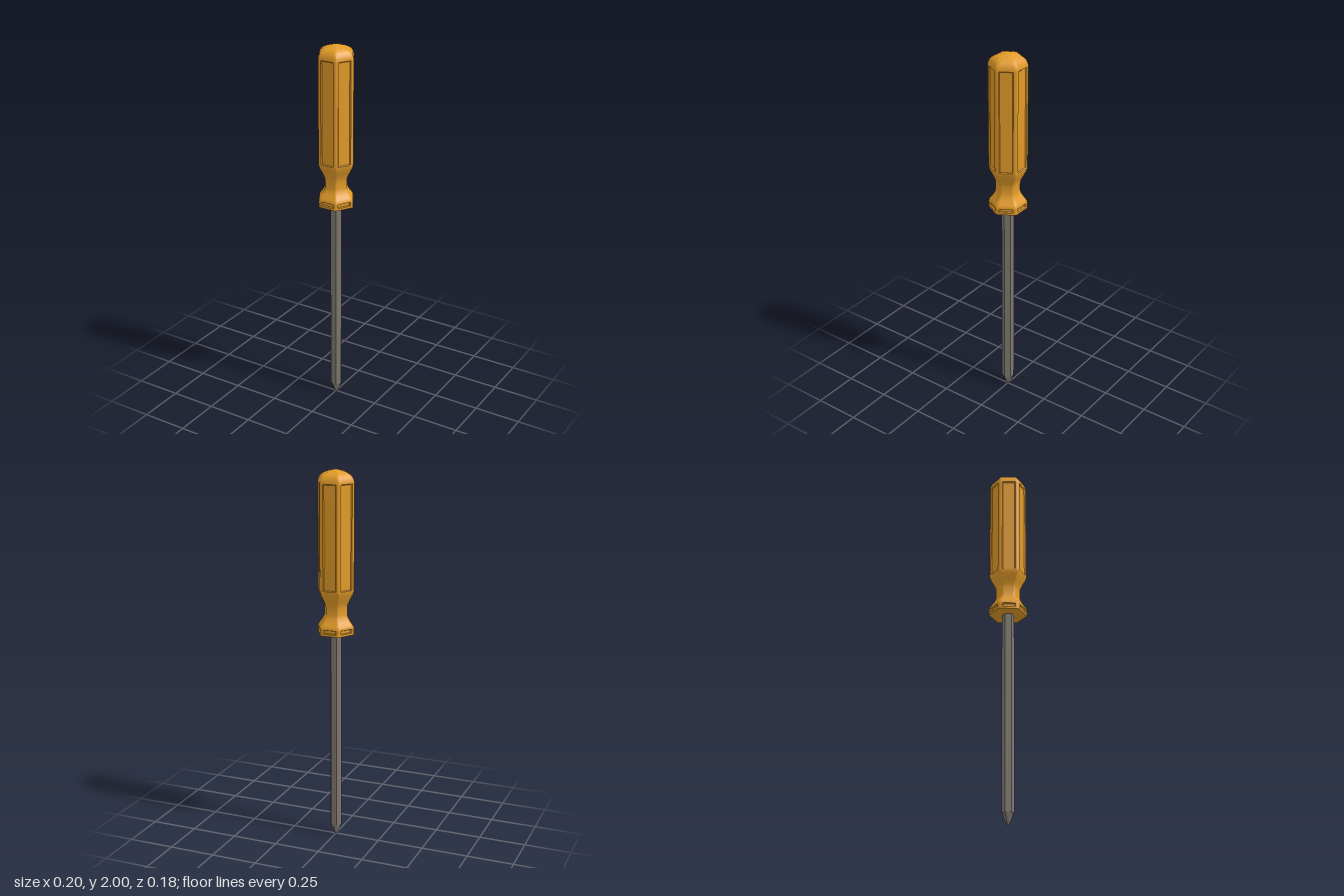
import * as THREE from 'three';
import { toCreasedNormals } from 'three/addons/utils/BufferGeometryUtils.js';

// Skin closed rings of points (bottom to top, counter-clockwise from above) and cap both ends
function loft(rings) {
  const n = rings[0].length;
  const pos = rings.flat().flatMap((p) => [p.x, p.y, p.z]);
  const index = [];
  for (let r = 0; r < rings.length - 1; r++) {
    for (let i = 0; i < n; i++) {
      const j = (i + 1) % n;
      const a = r * n + i, b = r * n + j, c = b + n, d = a + n;
      index.push(a, b, c, a, c, d);
    }
  }
  const bottom = rings.length * n, top = bottom + 1, last = (rings.length - 1) * n;
  pos.push(0, rings[0][0].y, 0, 0, rings[rings.length - 1][0].y, 0);
  for (let i = 0; i < n; i++) {
    const j = (i + 1) % n;
    index.push(bottom, j, i, top, last + i, last + j);
  }
  const g = new THREE.BufferGeometry();
  g.setAttribute('position', new THREE.Float32BufferAttribute(pos, 3));
  g.setIndex(index);
  return toCreasedNormals(g, 0.7);
}

// Point on a horizontal circle
const polar = (angle, radius, y) =>
  new THREE.Vector3(Math.cos(angle) * radius, y, -Math.sin(angle) * radius);

// Sharp hexagon ring
const hexRing = (y, radius) =>
  Array.from({ length: 6 }, (_, k) => polar((k * Math.PI) / 3, radius, y));

// Hexagon ring with softened corners, whose sides may be pressed inwards between them
function handleRing(y, radius, depth = 0) {
  const ring = [];
  for (let k = 0; k < 6; k++) {
    const a = (k * Math.PI) / 3;
    const p = polar(a, radius * 1.025, y);
    const q = polar(a + Math.PI / 3, radius * 1.025, y);
    const inward = polar(a + Math.PI / 6, -1, 0);
    ring.push(polar(a, radius * 1.01, y));
    for (const [t, press] of [[0.06, 0], [0.15, 0], [0.19, 1], [0.81, 1], [0.85, 0], [0.94, 0]]) {
      ring.push(p.clone().lerp(q, t).addScaledVector(inward, press * depth));
    }
  }
  return ring;
}

// Four-lobed ring for the cross tip
function crossRing(y, radius, notch) {
  return Array.from({ length: 16 }, (_, i) => {
    const a = (i * Math.PI) / 8;
    return polar(a, radius * (1 - notch * Math.sin(2 * a) ** 2), y);
  });
}

export function createModel() {
  const amber = new THREE.MeshStandardMaterial({ color: 0xe29b29 });
  amber.name = 'amber plastic';
  const steel = new THREE.MeshStandardMaterial({ color: 0x7f786f });
  steel.name = 'grey steel';

  const model = new THREE.Group();
  model.name = 'screwdriver';
  const add = (name, geometry, material) => {
    const mesh = new THREE.Mesh(geometry, material);
    mesh.name = name;
    model.add(mesh);
  };

  // Handle: slotted collar, waist, grip with recessed panels, domed end
  const handleProfile = [
    [1.145, 0.1], [1.157, 0.1], [1.16, 0.1, 0.008], [1.175, 0.1, 0.008], [1.178, 0.1],
    [1.187, 0.099], [1.198, 0.092], [1.215, 0.079], [1.235, 0.067], [1.25, 0.063],
    [1.29, 0.063], [1.305, 0.066], [1.33, 0.078], [1.36, 0.094], [1.375, 0.099],
    [1.383, 0.1], [1.387, 0.1, 0.006], [1.927, 0.1, 0.006], [1.932, 0.1],
    [1.945, 0.098], [1.958, 0.093], [1.97, 0.084], [1.979, 0.071], [1.987, 0.054], [1.995, 0.027], [2, 0.003],
  ];
  add('handle', loft(handleProfile.map((p) => handleRing(...p))), amber);

  // Hexagonal shaft
  add('shaft', loft([hexRing(0.06, 0.033), hexRing(1.15, 0.033)]), steel);

  // Tapered cross tip
  const tipProfile = [[0, 0.005, 0.2], [0.012, 0.013, 0.25], [0.036, 0.024, 0.22], [0.061, 0.0285, 0.06]];
  add('tip', loft(tipProfile.map((p) => crossRing(...p))), steel);

  return model;
}
